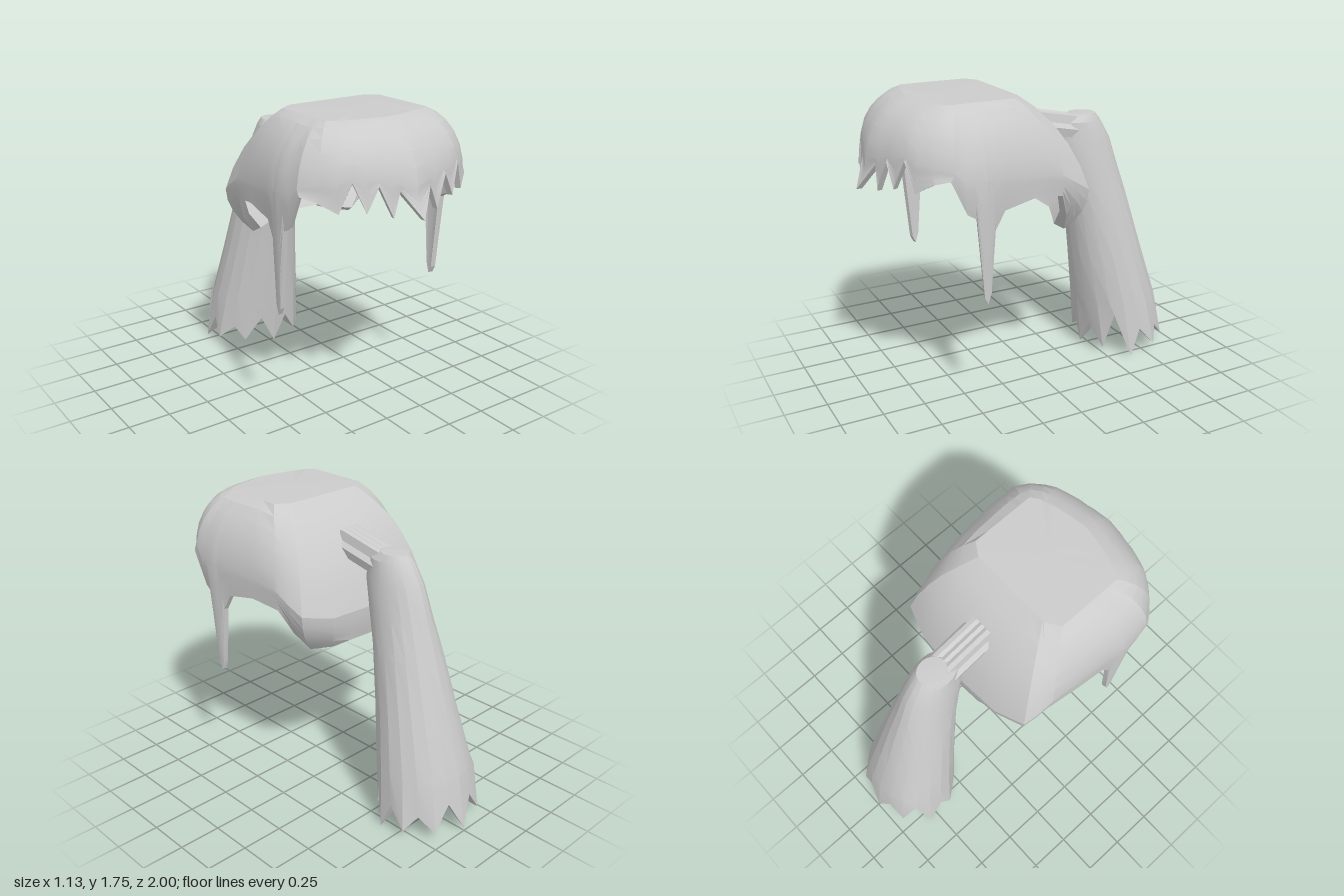
import * as THREE from 'three';
import { toCreasedNormals } from 'three/addons/utils/BufferGeometryUtils.js';

const material = new THREE.MeshStandardMaterial({ color: 0xcccccc, side: THREE.DoubleSide });

// Skin closed rings of points, listed from top to bottom
function loft(rings, crease) {
  const pos = [];
  const tri = (a, b, c) => {
    if (a.distanceTo(b) < 1e-5 || b.distanceTo(c) < 1e-5 || a.distanceTo(c) < 1e-5) return;
    for (const p of [a, b, c]) pos.push(p.x, p.y, p.z);
  };
  for (let r = 0; r < rings.length - 1; r++) {
    const up = rings[r], low = rings[r + 1], n = up.length;
    for (let i = 0; i < n; i++) {
      const j = (i + 1) % n;
      tri(up[i], low[i], low[j]);
      tri(up[i], low[j], up[j]);
    }
  }
  const g = new THREE.BufferGeometry();
  g.setAttribute('position', new THREE.Float32BufferAttribute(pos, 3));
  return toCreasedNormals(g, crease);
}

function addMesh(parent, name, geometry) {
  const mesh = new THREE.Mesh(geometry, material);
  mesh.name = name;
  parent.add(mesh);
  return mesh;
}

// Half outline from brow to nape: widest point x, y, z, then hem point x, y, z
const HALF = [
  [0, 1.43, 0.94, 0, 1.26, 1.0], // fringe points
  [0.1, 1.45, 0.92, 0.1, 1.41, 0.92],
  [0.14, 1.45, 0.91, 0.145, 1.28, 0.93],
  [0.21, 1.48, 0.89, 0.22, 1.45, 0.9],
  [0.28, 1.48, 0.87, 0.285, 1.32, 0.89],
  [0.35, 1.5, 0.84, 0.35, 1.48, 0.85],
  [0.41, 1.47, 0.81, 0.41, 1.32, 0.82],
  [0.48, 1.46, 0.75, 0.5, 1.38, 0.75],
  [0.55, 1.44, 0.66, 0.55, 1.4, 0.68],
  [0.56, 1.38, 0.6, 0.545, 1.21, 0.59],
  [0.565, 1.38, 0.55, 0.55, 1.18, 0.54], // side lock
  [0.565, 1.38, 0.51, 0.55, 0.73, 0.5],
  [0.565, 1.38, 0.48, 0.55, 0.69, 0.48],
  [0.56, 1.38, 0.46, 0.55, 0.75, 0.46],
  [0.56, 1.38, 0.43, 0.545, 1.1, 0.43],
  [0.55, 1.38, 0.37, 0.54, 1.2, 0.37], // ear opening
  [0.53, 1.36, 0.18, 0.53, 1.24, 0.18],
  [0.51, 1.33, 0, 0.5, 1.215, 0],
  [0.5, 1.27, -0.1, 0.44, 1.08, -0.06], // nape
  [0.48, 1.22, -0.18, 0.35, 0.96, -0.1],
  [0.3, 1.18, -0.24, 0.25, 0.97, -0.18],
  [0.15, 1.18, -0.25, 0.16, 1.0, -0.23],
  [0, 1.18, -0.26, 0, 1.0, -0.24],
];

function capGeometry() {
  const mirrored = HALF.slice(1, -1).reverse().map(([x, y, z, hx, hy, hz]) => [-x, y, z, -hx, hy, hz]);
  const columns = [...HALF, ...mirrored];
  const crown = 1.74;
  const outer = [columns.map(() => new THREE.Vector3(0, crown + 0.005, 0.42))];
  // Shoulder from the flat crown to the widest line, flatter towards the back
  for (let k = 0; k <= 5; k++) {
    const t = k / 5, a = t * Math.PI / 2;
    outer.push(columns.map(([x, y, z]) => {
      const tx = THREE.MathUtils.clamp(x * (z < 0 ? 0.5 : 0.7), -0.33, 0.33);
      const tz = Math.max(0.15, 0.42 + (z - 0.42) * 0.52);
      const flat = z < 0.1 ? 0.5 : 0.25;
      const s = THREE.MathUtils.lerp(Math.sin(a), t, flat);
      const h = THREE.MathUtils.lerp(Math.cos(a), 1 - t, flat);
      return new THREE.Vector3(tx + (x - tx) * s, y + (crown - y) * h, tz + (z - tz) * s);
    }));
  }
  // Lower wall, curling in towards the hem
  for (let k = 1; k <= 4; k++) {
    const f = k / 4, q = f * f;
    outer.push(columns.map(([x, y, z, hx, hy, hz]) =>
      new THREE.Vector3(x + (hx - x) * q, y + (hy - y) * f, z + (hz - z) * q)));
  }
  // Inner wall, thickened at the nape
  const inner = outer.map(ring => ring.map(p => {
    const nape = p.z < 0 ? THREE.MathUtils.clamp((1.2 - p.y) / 0.2, 0, 1) : 0;
    const y = p.y > 1.3 ? 1.3 + (p.y - 1.3) * 0.92 : p.y;
    const z = 0.35 + (p.z - 0.35) * 0.95;
    return new THREE.Vector3(p.x * 0.95, y + 0.035 * nape, z * (1 - 0.45 * nape));
  }));
  return loft([...outer, ...inner.reverse()], 0.3);
}

function ponytailGeometry() {
  const n = 20;
  // y, centre z, half width, half depth
  const sections = [
    [1.545, -0.41, 0, 0], [1.54, -0.41, 0.075, 0.085], [1.5, -0.39, 0.1, 0.14], [1.38, -0.415, 0.125, 0.185],
    [1.2, -0.465, 0.15, 0.195], [1.0, -0.525, 0.185, 0.205], [0.65, -0.605, 0.235, 0.235], [0.34, -0.675, 0.285, 0.265],
  ];
  const ring = (y, zc, rx, rz) => Array.from({ length: n }, (_, i) => {
    const a = (i / n) * Math.PI * 2;
    return new THREE.Vector3(rx * Math.sin(a), y, zc + rz * Math.cos(a));
  });
  const rings = sections.map(s => ring(...s));
  // Jagged ends
  const tips = ring(0.02, -0.72, 0.325, 0.275);
  const notches = ring(0.2, -0.7, 0.3, 0.265);
  const tipHeight = [0.02, 0.04, 0.0, 0.05, 0.05];
  const notchHeight = [0.18, 0.28, 0.17, 0.14, 0.2];
  rings.push(tips.map((p, i) => {
    const k = Math.floor(i / 2) % 5;
    const q = i % 2 ? notches[i] : p;
    q.y = i % 2 ? notchHeight[k] : tipHeight[k];
    return q;
  }));
  rings.push(ring(0.22, -0.69, 0, 0));
  return loft(rings, 0.3);
}

// Grooved strand joining the cap to the ponytail
function bridgeGeometry() {
  const half = [[0.09, 0], [0.1, 0.05], [0.075, 0.075], [0.065, 0.125], [0.04, 0.13], [0.02, 0.12]];
  const left = half.map(([x, y]) => [-x, y]).reverse();
  const shape = new THREE.Shape([...half, [0, 0.13], ...left].map(([x, y]) => new THREE.Vector2(x, y)));
  return new THREE.ExtrudeGeometry(shape, { depth: 0.38, bevelEnabled: false });
}

export function createModel() {
  const model = new THREE.Group();
  model.name = 'ponytailHair';
  addMesh(model, 'hairCap', capGeometry());
  addMesh(model, 'ponytail', ponytailGeometry());
  const bridge = addMesh(model, 'ponytailBridge', bridgeGeometry());
  bridge.position.set(0, 1.395, -0.4);
  bridge.rotation.x = -0.2;
  return model;
}
